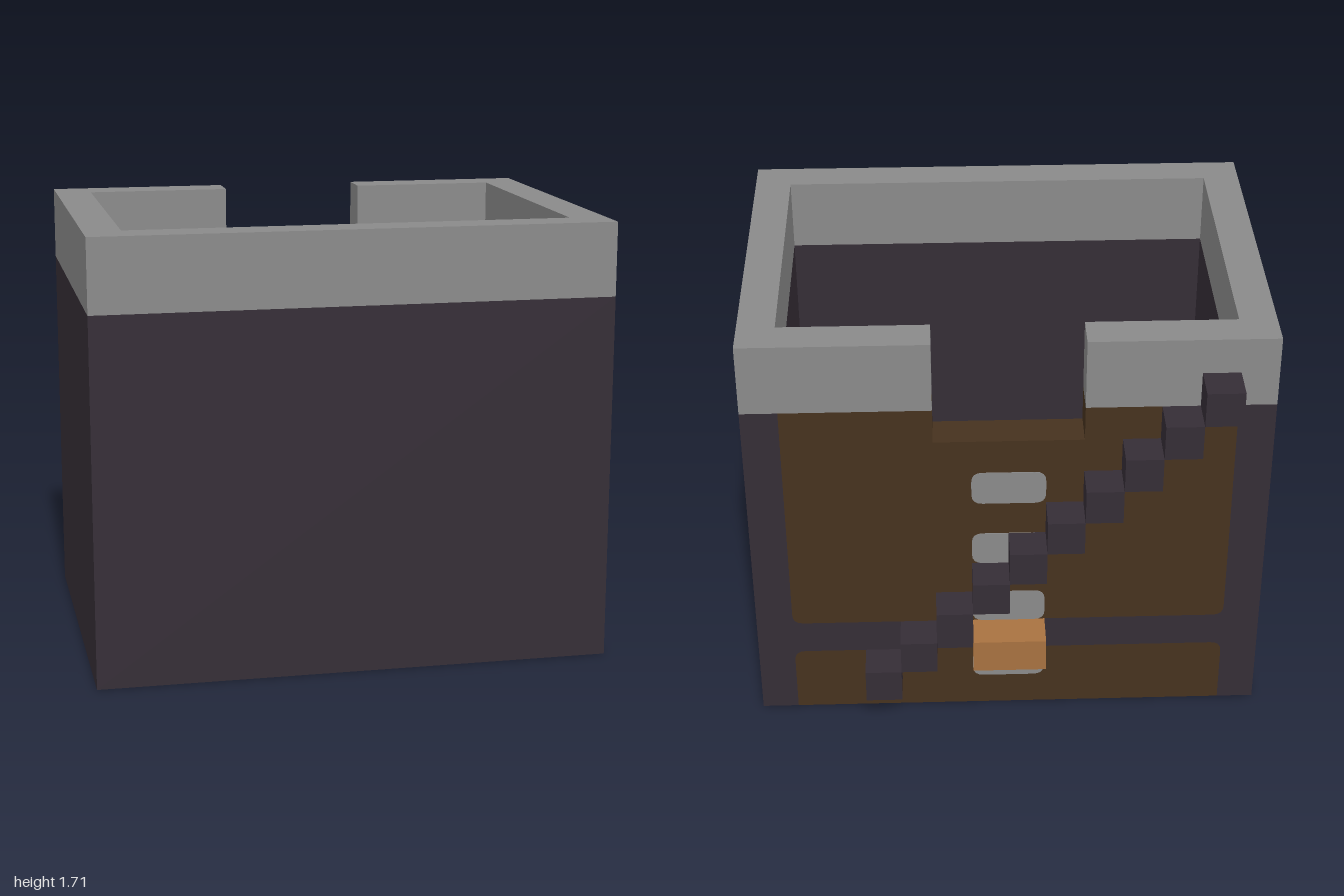
import * as THREE from 'three';

const mat = (name, color, extra = {}) => Object.assign(new THREE.MeshStandardMaterial({ color, ...extra }), { name });

export function createModel() {
  const stone = mat('grey stone', 0x8a8a8a);
  const dark = mat('dark wood', 0x352d36);
  const brown = mat('brown wood', 0x46321e);
  const orange = mat('orange wood', 0xa87240);

  // Everything is laid out on a block grid: 14 blocks wide, 12 high, 11 deep
  const model = new THREE.Group();
  model.name = 'tower';
  const blocks = new THREE.Group();
  blocks.name = 'blocks';
  blocks.scale.setScalar(1 / 7);
  model.add(blocks);

  const add = (name, geometry, material) => {
    const mesh = new THREE.Mesh(geometry, material);
    mesh.name = name;
    blocks.add(mesh);
    return mesh;
  };
  // Box given by its lowest and highest corners
  const box = (name, material, [x0, y0, z0], [x1, y1, z1]) =>
    add(name, new THREE.BoxGeometry(x1 - x0, y1 - y0, z1 - z0), material)
      .position.set((x0 + x1) / 2, (y0 + y1) / 2, (z0 + z1) / 2);
  // Outline in x and y extruded through the back wall; a third value rounds a corner
  const panel = (name, material, points, proud = 0) => {
    const shape = new THREE.Shape();
    const n = points.length;
    points.forEach(([x, y, r = 0], i) => {
      const toward = ([px, py]) => {
        const d = Math.hypot(px - x, py - y);
        return [x + (px - x) * r / d, y + (py - y) * r / d];
      };
      const a = toward(points[(i + n - 1) % n]);
      const b = toward(points[(i + 1) % n]);
      if (i === 0) shape.moveTo(...a); else shape.lineTo(...a);
      if (r) shape.quadraticCurveTo(x, y, ...b);
    });
    shape.closePath();
    const geometry = new THREE.ExtrudeGeometry(shape, { depth: 1 + 2 * proud, bevelEnabled: false, curveSegments: 4 });
    add(name, geometry, material).position.z = -4.5 - proud;
  };

  // Front and side walls with the stone rim above them
  for (const [part, material, y0, y1] of [['Wall', dark, 0, 10], ['Rim', stone, 10, 12]]) {
    box('front' + part, material, [-7, y0, 4.5], [7, y1, 5.5]);
    box('left' + part, material, [6, y0, -3.5], [7, y1, 4.5]);
    box('right' + part, material, [-7, y0, -3.5], [-6, y1, 4.5]);
  }
  // Back rim, open in the middle
  box('backRimLeft', stone, [2, 10, -4.5], [7, 12, -3.5]);
  box('backRimRight', stone, [-7, 10, -4.5], [-2, 12, -3.5]);

  // Back frame: two posts joined by a crossbar
  const r = 0.3;
  panel('backFrame', dark, [
    [-7, 0], [-6, 0], [-6, 2, r], [6, 2, r], [6, 0], [7, 0],
    [7, 10], [6, 10], [6, 3, r], [-6, 3, r], [-6, 10], [-7, 10],
  ]);
  // Brown infill, notched at the top
  panel('lowerInfill', brown, [[-6, 0], [6, 0], [6, 2, r], [-6, 2, r]]);
  panel('upperInfill', brown, [
    [-6, 3, r], [6, 3, r], [6, 10], [2, 10], [2, 9], [-2, 9], [-2, 10], [-6, 10],
  ]);
  // Stone slots showing on both faces of the back wall
  for (const y of [1, 3, 5, 7]) {
    panel('stoneSlot', stone, [[-1, y, r], [1, y, r], [1, y + 1, r], [-1, y + 1, r]], 0.02);
  }

  // Diagonal run of cubes and the ledge on the back
  for (let i = 0; i < 10; i++) {
    box('diagonalBlock', dark, [3 - i, 1 + i, -5.5], [4 - i, 2 + i, -4.5]);
  }
  box('ledge', orange, [-1, 2, -5.5], [1, 3, -4.5]);

  return model;
}
